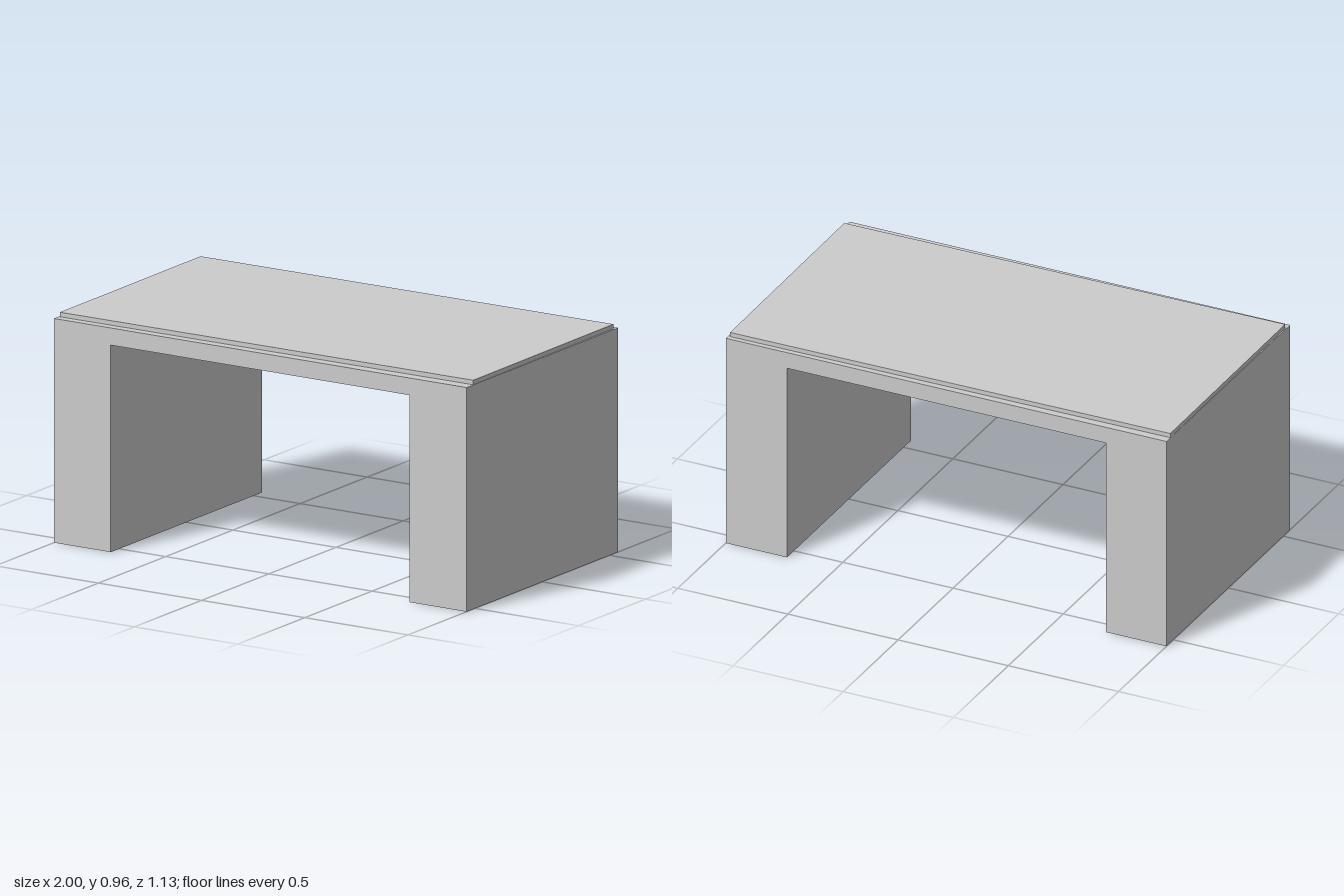
import * as THREE from 'three';

// Extrudes a closed outline of [x, y] points to a flat-sided solid
function extrudeOutline(points, depth) {
  const shape = new THREE.Shape(points.map(([x, y]) => new THREE.Vector2(x, y)));
  return new THREE.ExtrudeGeometry(shape, { depth, bevelEnabled: false });
}

export function createModel() {
  const group = new THREE.Group();
  group.name = 'table';
  const material = new THREE.MeshStandardMaterial({ color: 0xcccccc, flatShading: true });

  const halfDepth = 0.563;
  const frameHeight = 0.942;
  const slabThickness = 0.019;

  // Frame: two slab legs joined by a thin deck
  const frame = new THREE.Mesh(extrudeOutline([
    [-1, 0], [-0.725, 0], [-0.725, 0.87], [0.722, 0.87],
    [0.722, 0], [1, 0], [1, frameHeight], [-1, frameHeight],
  ], 2 * halfDepth), material);
  frame.name = 'frame';
  frame.position.z = -halfDepth;
  group.add(frame);

  // Thin top panel, set very slightly askew on the deck (outline in x, -z)
  const panel = new THREE.Mesh(extrudeOutline([
    [-0.995, -0.527], [0.998, -0.511], [0.991, 0.542], [-0.999, 0.526],
  ], slabThickness), material);
  panel.name = 'topPanel';
  panel.rotation.x = -Math.PI / 2;
  panel.position.y = frameHeight;
  group.add(panel);

  return group;
}
